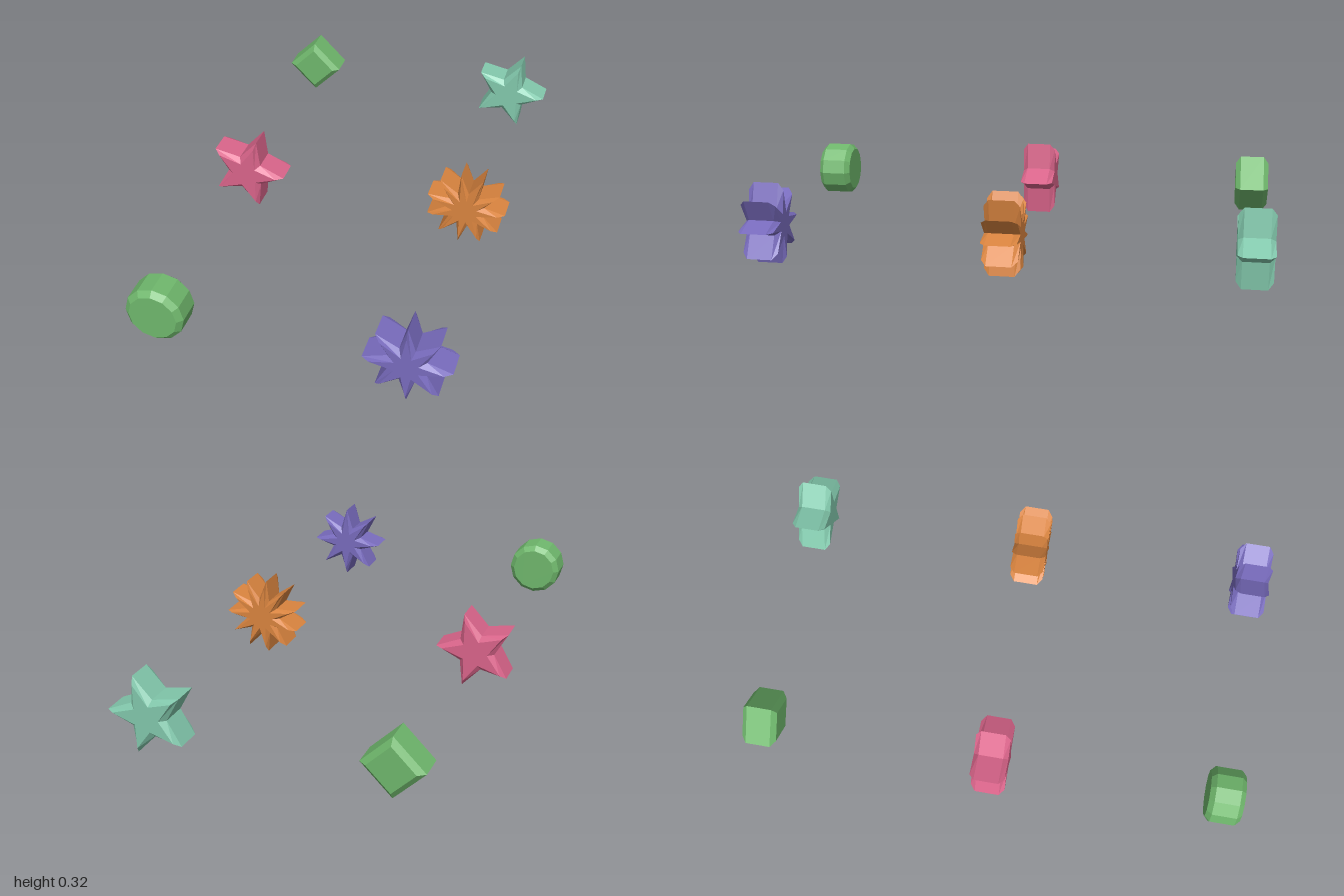
import * as THREE from 'three';

const BEVEL = 0.02;
const DEPTH = 0.138;
const CENTER_Y = 0.168;

// Regular polygon, or a star when an inner radius is given; first point on +x
function outline(points, outer, inner) {
  const radii = inner ? [outer, inner] : [outer];
  const count = points * radii.length;
  const corners = [];
  for (let i = 0; i < count; i++) {
    const a = (i / count) * Math.PI * 2;
    const r = radii[i % radii.length];
    corners.push(new THREE.Vector2(Math.cos(a) * r, Math.sin(a) * r));
  }
  return new THREE.Shape(corners);
}

// Chamfered prism centred on its own depth
function prism(name, shape, color, x, z) {
  const geometry = new THREE.ExtrudeGeometry(shape, {
    depth: DEPTH - 2 * BEVEL,
    bevelEnabled: true,
    bevelSize: BEVEL,
    bevelThickness: BEVEL,
    bevelSegments: 1,
    steps: 1,
  });
  geometry.translate(0, 0, -(DEPTH - 2 * BEVEL) / 2);
  const mesh = new THREE.Mesh(
    geometry,
    new THREE.MeshStandardMaterial({ color, flatShading: true })
  );
  mesh.name = name;
  mesh.position.set(x, CENTER_Y, z);
  return mesh;
}

export function createModel() {
  const group = new THREE.Group();
  group.name = 'prismCollection';
  const left = 0.449, right = -0.482, row = 0.931;

  group.add(
    // Polygon prisms
    prism('squarePrism', outline(4, 0.091), 0x6fb76c, right, -row),
    prism('twelveSidedPrism', outline(12, 0.092), 0x6fb76c, right, row),
    // Star prisms
    prism('pinkFivePointStar', outline(5, 0.134, 0.053), 0xd9648a, right, 0),
    prism('tealFivePointStar', outline(5, 0.134, 0.053), 0x82c8ac, left, -row),
    prism('elevenPointStar', outline(11, 0.133, 0.05), 0xd9843f, left, 0),
    prism('eightPointStar', outline(8, 0.133, 0.047), 0x786bbd, left, row)
  );
  return group;
}
